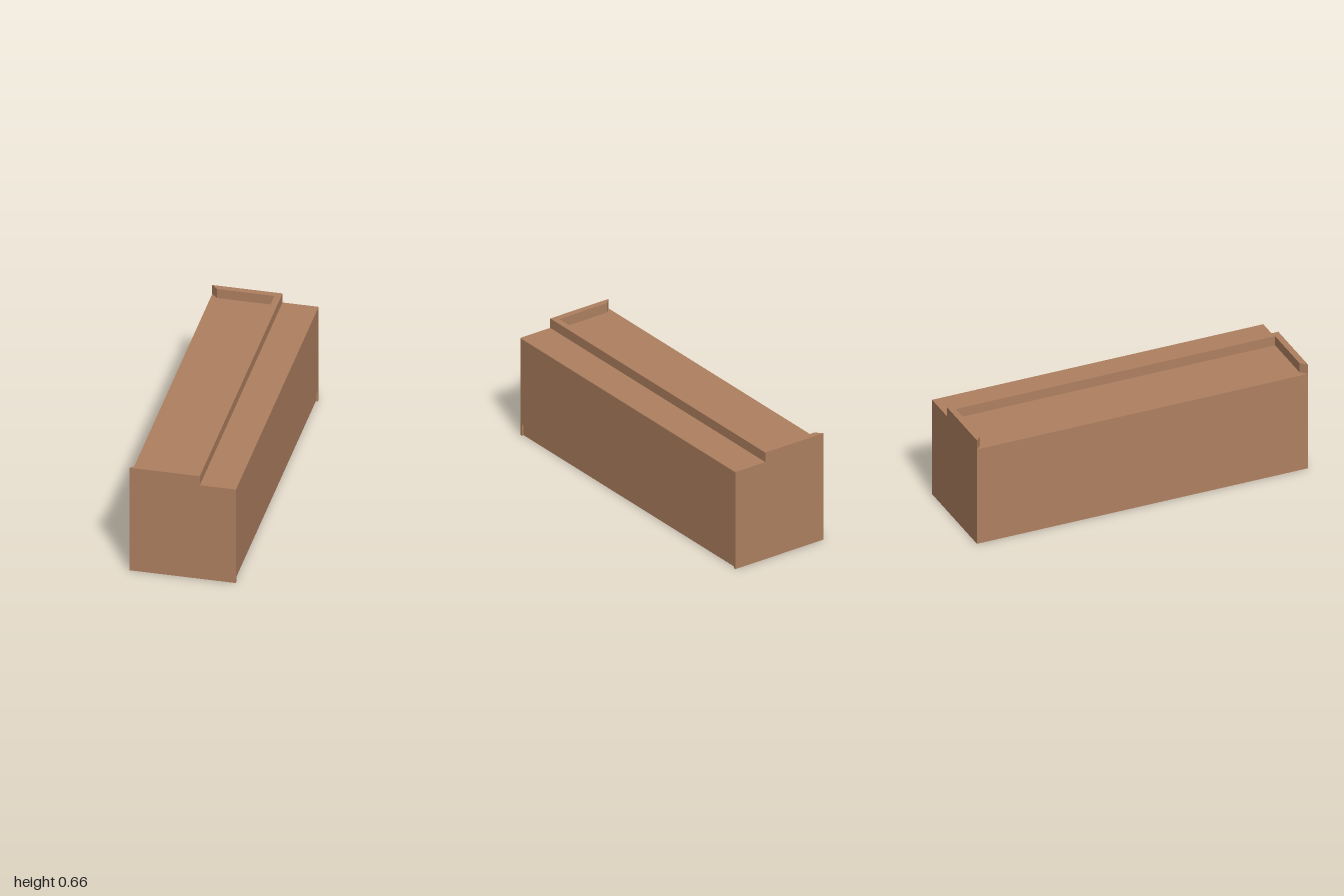
import * as THREE from 'three';

// Extrude a plan outline (x, z pairs, symmetric in z) upward from y0 to y1
function planSlab(points, y0, y1) {
  const shape = new THREE.Shape(points.map(([x, z]) => new THREE.Vector2(x, z)));
  const geo = new THREE.ExtrudeGeometry(shape, { depth: y1 - y0, bevelEnabled: false });
  geo.rotateX(-Math.PI / 2);
  geo.translate(0, y0, 0);
  return geo;
}

export function createModel() {
  const group = new THREE.Group();
  group.name = 'counter';
  const wood = new THREE.MeshStandardMaterial({ color: 0xae8060 });
  wood.name = 'brown wood';

  const add = (name, geometry) => {
    const mesh = new THREE.Mesh(geometry, wood);
    mesh.name = name;
    group.add(mesh);
  };

  const W = 0.3, L = 1, kickY = 0.07, deckY = 0.6, topY = 0.658;

  // Main body with a tiny bevel along the long upper edge
  const b = 0.003;
  const profile = new THREE.Shape([
    [-W, kickY], [W, kickY], [W, deckY - b], [W - b, deckY], [-W, deckY],
  ].map(([x, y]) => new THREE.Vector2(x, y)));
  const body = new THREE.ExtrudeGeometry(profile, { depth: 2 * L, bevelEnabled: false });
  body.translate(0, 0, -L);
  add('body', body);

  // Base with a shallow kick recess between the end panels
  const kx = W - 0.012, kz = L - 0.013;
  add('base', planSlab([
    [-W, -L], [W, -L], [W, -kz], [kx, -kz], [kx, kz], [W, kz], [W, L], [-W, L],
  ], 0, kickY));

  // Raised rim: long rail and two end walls with mitred tips
  const railOut = 0.097, railIn = 0.06, wz = L - 0.036, tip = -0.264;
  add('raisedRim', planSlab([
    [-W, -L], [railOut, -L], [railOut, L], [-W, L],
    [tip, wz], [railIn, wz], [railIn, -wz], [tip, -wz],
  ], deckY, topY));

  return group;
}
